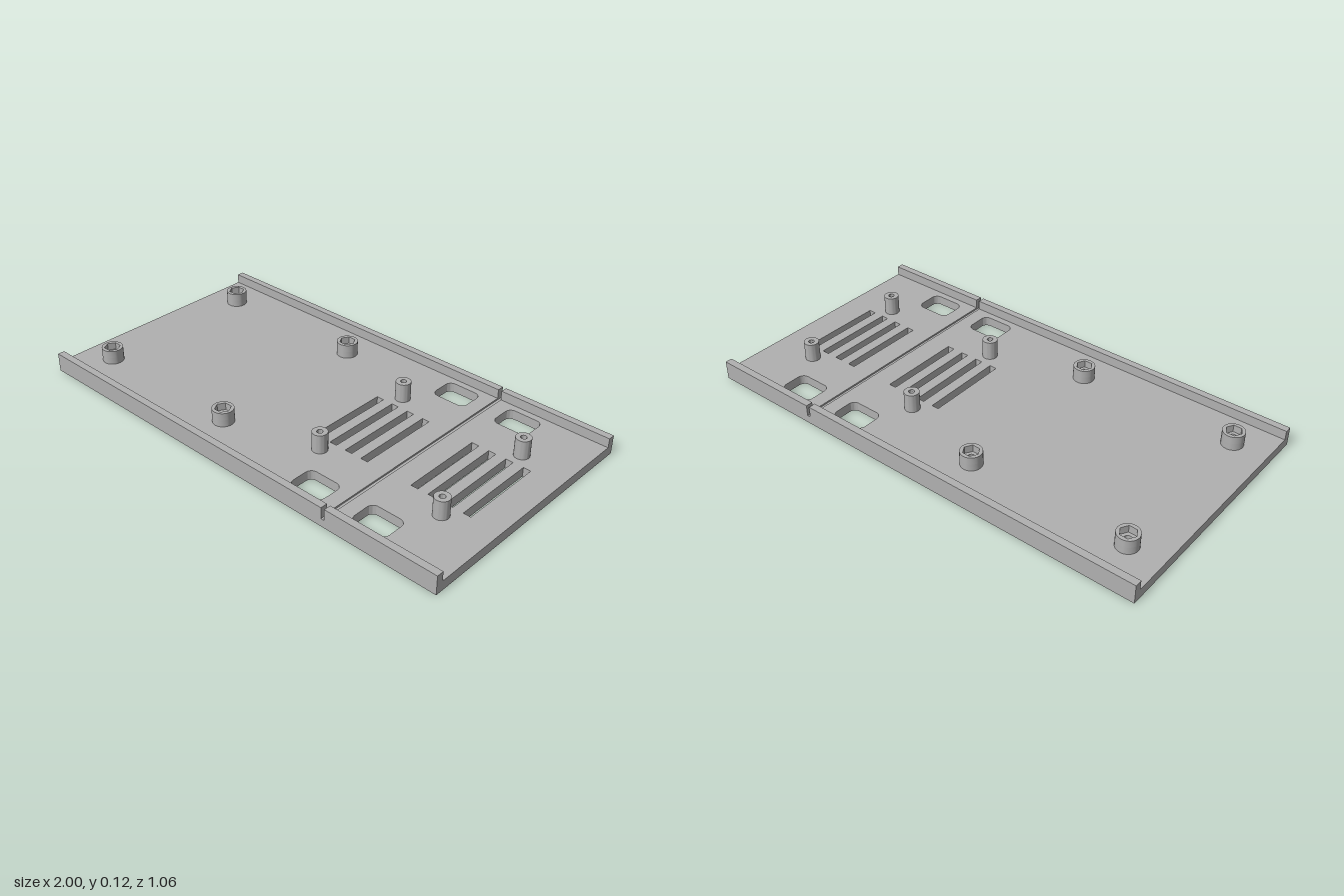
import * as THREE from 'three';
import { toCreasedNormals } from 'three/addons/utils/BufferGeometryUtils.js';

const grey = new THREE.MeshStandardMaterial({ color: 0xb0b0b0 });
grey.name = 'grey plastic';

const HALF_Z = 0.528, PLATE = 0.04, RAIL_TOP = 0.08, RAIL_W = 0.03;
const GROOVE = [0.503, 0.518], GROOVE_FLOOR = 0.033;

// Outlines, drawn in plan
function roundedRect(path, x, z, w, d, r) {
  const a = w / 2 - r, b = d / 2 - r;
  path.absarc(x + a, z + b, r, 0, Math.PI / 2);
  path.absarc(x - a, z + b, r, Math.PI / 2, Math.PI);
  path.absarc(x - a, z - b, r, Math.PI, Math.PI * 1.5);
  path.absarc(x + a, z - b, r, Math.PI * 1.5, Math.PI * 2);
  path.closePath();
  return path;
}

function rect(path, x, z, w, d) {
  path.moveTo(x - w / 2, z - d / 2).lineTo(x + w / 2, z - d / 2);
  path.lineTo(x + w / 2, z + d / 2).lineTo(x - w / 2, z + d / 2);
  path.closePath();
  return path;
}

function circle(path, x, z, r) {
  path.absarc(x, z, r, 0, Math.PI * 2);
  return path;
}

function hexagon(path, r) {
  const pts = [];
  for (let i = 0; i < 6; i++) {
    const a = i * Math.PI / 3;
    pts.push(new THREE.Vector2(r * Math.cos(a), r * Math.sin(a)));
  }
  path.setFromPoints(pts);
  path.closePath();
  return path;
}

// Extrude a plan outline upwards from y0 to y1
function slab(name, shape, y0, y1) {
  const geo = new THREE.ExtrudeGeometry(shape, { depth: y1 - y0, bevelEnabled: false, curveSegments: 16 });
  geo.rotateX(-Math.PI / 2);
  geo.translate(0, y0, 0);
  const mesh = new THREE.Mesh(toCreasedNormals(geo, 0.6), grey);
  mesh.name = name;
  return mesh;
}

export function createModel() {
  const model = new THREE.Group();
  model.name = 'mountingTray';

  const widePosts = [], slimPosts = [], holes = [];
  for (const s of [-1, 1]) {
    for (const x of [-0.855, -0.172]) widePosts.push([x, s * 0.355]);
    for (const x of [0.228, 0.793]) slimPosts.push([x, s * 0.24]);
    // Cable openings beside the rails
    for (const x of [0.365, 0.657]) {
      holes.push({ x, path: roundedRect(new THREE.Path(), x, s * 0.41, 0.153, 0.118, 0.028) });
    }
  }
  // Vent slots
  for (const start of [0.163, 0.628]) {
    for (let i = 0; i < 4; i++) {
      const x = start + i * 0.0765;
      holes.push({ x, path: rect(new THREE.Path(), x, 0, 0.032, 0.36) });
    }
  }
  // Screw holes under the posts
  for (const [x, z] of widePosts) holes.push({ x, path: circle(new THREE.Path(), x, z, 0.016) });
  for (const [x, z] of slimPosts) holes.push({ x, path: circle(new THREE.Path(), x, z, 0.012) });

  // Base plate in two halves, joined by the thin floor of the groove
  function plate(name, x0, x1, top) {
    const shape = rect(new THREE.Shape(), (x0 + x1) / 2, 0, x1 - x0, HALF_Z * 2);
    shape.holes = holes.filter(h => h.x > x0 && h.x < x1).map(h => h.path);
    model.add(slab(name, shape, 0, top));
  }
  plate('rightPlate', -1, GROOVE[0], PLATE);
  plate('grooveFloor', GROOVE[0], GROOVE[1], GROOVE_FLOOR);
  plate('leftPlate', GROOVE[1], 1, PLATE);

  // Edge rails, cut by the groove
  for (const s of [-1, 1]) {
    for (const [x0, x1] of [[-1, GROOVE[0]], [GROOVE[1], 1]]) {
      const rail = new THREE.Mesh(new THREE.BoxGeometry(x1 - x0, RAIL_TOP - PLATE, RAIL_W), grey);
      rail.position.set((x0 + x1) / 2, (PLATE + RAIL_TOP) / 2, s * (HALF_Z - RAIL_W / 2));
      rail.name = s > 0 ? 'frontRail' : 'backRail';
      model.add(rail);
    }
  }

  // Posts: a bored cylinder, the wide ones with a hexagonal nut pocket on top
  function ring(name, radius, hole, y0, y1) {
    const shape = circle(new THREE.Shape(), 0, 0, radius);
    shape.holes.push(hole);
    return slab(name, shape, y0, y1);
  }
  for (const [x, z] of widePosts) {
    const post = new THREE.Group();
    post.name = 'widePost';
    post.add(ring('postBase', 0.044, circle(new THREE.Path(), 0, 0, 0.016), PLATE, 0.07));
    post.add(ring('nutPocket', 0.044, hexagon(new THREE.Path(), 0.033), 0.07, 0.1));
    post.position.set(x, 0, z);
    model.add(post);
  }
  for (const [x, z] of slimPosts) {
    const post = ring('slimPost', 0.031, circle(new THREE.Path(), 0, 0, 0.012), PLATE, 0.12);
    post.position.set(x, 0, z);
    model.add(post);
  }
  return model;
}
